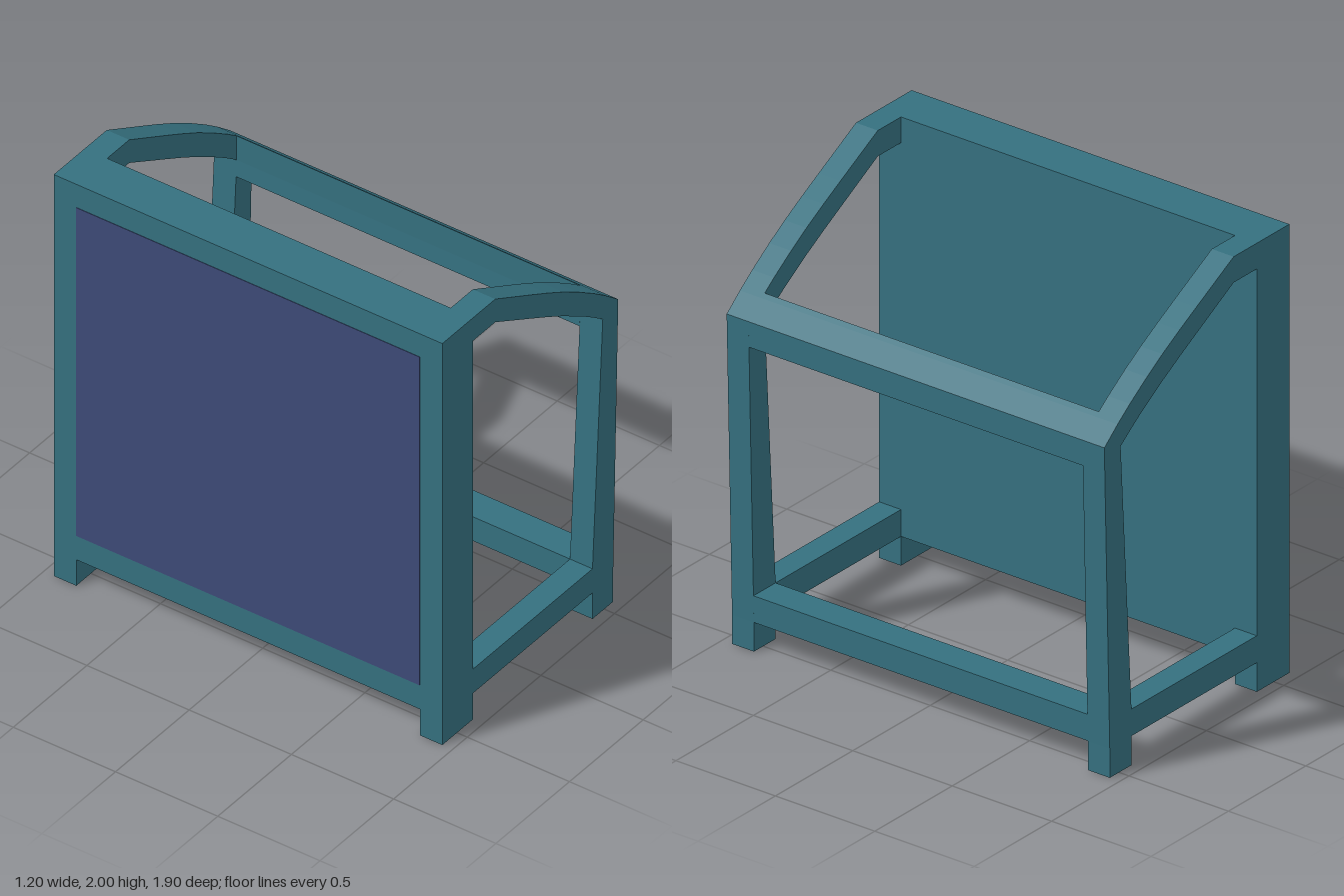
import * as THREE from 'three';

const Z_OUT = 0.95, Z_IN = 0.84;

const frameMat = new THREE.MeshStandardMaterial({ color: 0x35707f, flatShading: true });
const panelMat = new THREE.MeshStandardMaterial({ color: 0x3d4a78, flatShading: true });

const toPoints = (list) => list.map(([x, y]) => new THREE.Vector2(x, y));

// Extrudes an x-y outline from z0 to z1, with optional hole
function slab(name, outline, z0, z1, hole) {
  const shape = new THREE.Shape(toPoints(outline));
  if (hole) shape.holes.push(new THREE.Path(toPoints(hole)));
  const geo = new THREE.ExtrudeGeometry(shape, { depth: z1 - z0, bevelEnabled: false });
  geo.translate(0, 0, z0);
  const mesh = new THREE.Mesh(geo, frameMat);
  mesh.name = name;
  return mesh;
}

export function createModel() {
  const group = new THREE.Group();
  group.name = 'cabFrame';

  // Side frame: rear post, curved roof rail, leaning front pillar, sill and feet
  const outline = [
    [-0.6, 0], [-0.39, 0], [-0.39, 0.13], [0.42, 0.13], [0.42, 0], [0.56, 0], [0.56, 0.13],
    [0.595, 1.485], [0.51, 1.555], [0.43, 1.615], [0.32, 1.69], [0.22, 1.752], [0.11, 1.814],
    [0, 1.873], [-0.24, 2], [-0.6, 2],
  ];
  const opening = [
    [-0.39, 0.25], [0.42, 0.25], [0.49, 1.45], [0.43, 1.495], [0.37, 1.537], [0.22, 1.632],
    [0.11, 1.695], [0, 1.755], [-0.24, 1.885], [-0.39, 1.885],
  ];
  group.add(slab('leftSideFrame', outline, Z_IN, Z_OUT, opening));
  group.add(slab('rightSideFrame', outline, -Z_OUT, -Z_IN, opening));

  // Solid wall between the rear posts
  group.add(slab('rearWall', [[-0.6, 0.13], [-0.39, 0.13], [-0.39, 2], [-0.6, 2]], -Z_IN, Z_IN));

  // Cross beams joining the front pillars
  group.add(slab('lowerCrossBeam',
    [[0.42, 0.13], [0.56, 0.13], [0.563, 0.25], [0.42, 0.25]], -Z_IN, Z_IN));
  group.add(slab('upperCrossBeam',
    [[0.485, 1.37], [0.592, 1.37], [0.595, 1.485], [0.51, 1.555], [0.49, 1.57], [0.49, 1.45]],
    -Z_IN, Z_IN));

  // Coloured panel set into the outer face of the wall
  const panel = new THREE.Mesh(new THREE.BoxGeometry(0.01, 1.635, Z_IN * 2), panelMat);
  panel.name = 'rearPanel';
  panel.position.set(-0.597, 1.0675, 0);
  group.add(panel);

  return group;
}
